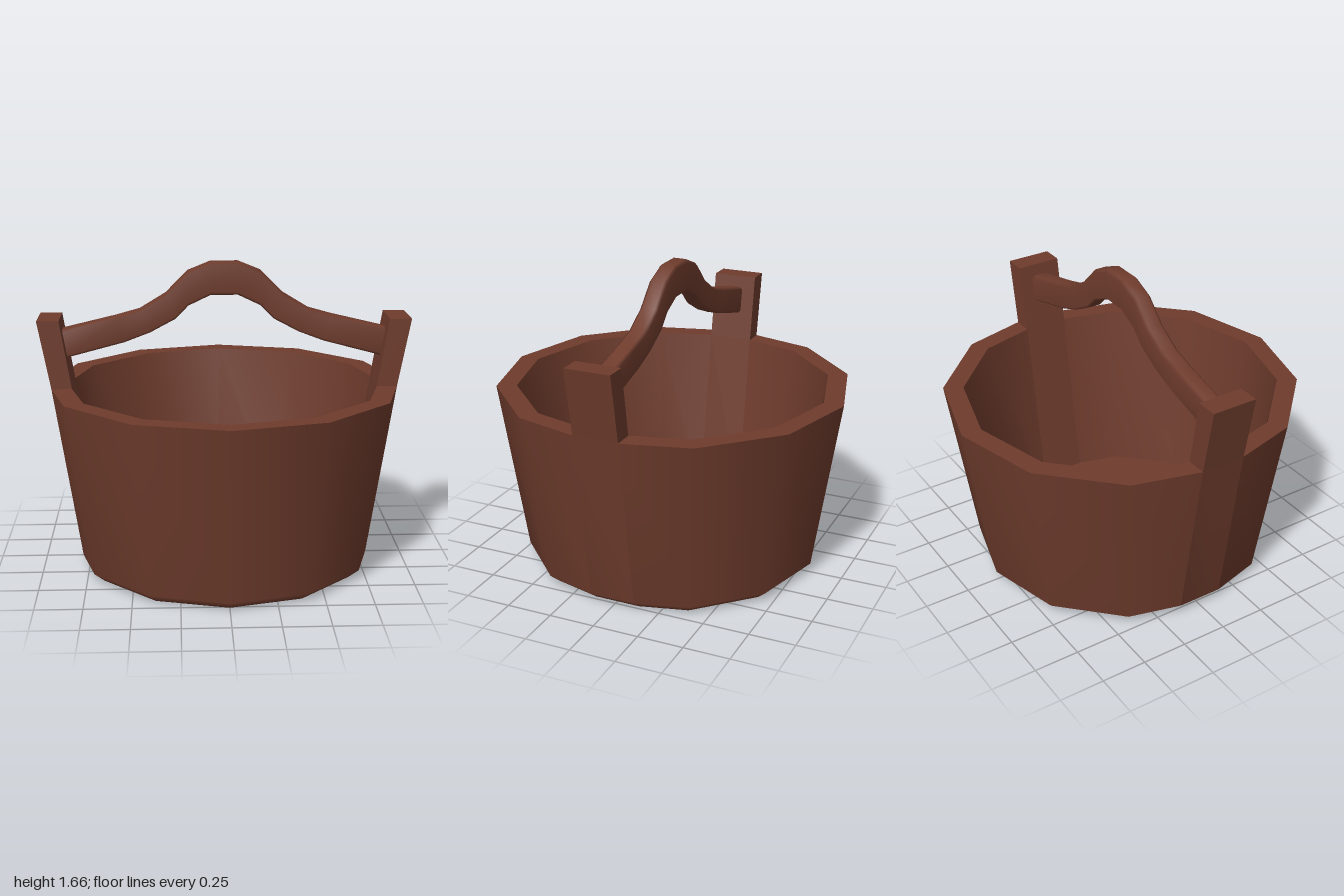
import * as THREE from 'three';
import { mergeVertices } from 'three/addons/utils/BufferGeometryUtils.js';

// Smooth surface through rows of [x, y, z] points
function loft(rows) {
  const n = rows[0].length, index = [];
  for (let i = 0; i < rows.length - 1; i++) {
    for (let j = 0; j < n - 1; j++) {
      const a = i * n + j, b = a + n;
      index.push(a, a + 1, b, a + 1, b + 1, b);
    }
  }
  const geometry = new THREE.BufferGeometry();
  geometry.setAttribute('position', new THREE.Float32BufferAttribute(rows.flat(2), 3));
  geometry.setIndex(index);
  const merged = mergeVertices(geometry, 1e-4);
  merged.computeVertexNormals();
  return merged;
}

const HALF_POST = 0.125;
const CUT = HALF_POST * Math.tan(Math.PI / 12);

// Half of a twelve-sided ring whose corners on the x axis are cut flat
function arc(r, y) {
  if (r === 0) return Array.from({ length: 7 }, () => [0, y, 0]);
  const points = [[r - CUT, y, HALF_POST]];
  for (let i = 1; i <= 5; i++) {
    const t = (i * Math.PI) / 6;
    points.push([r * Math.cos(t), y, r * Math.sin(t)]);
  }
  points.push([CUT - r, y, HALF_POST]);
  return points;
}

// The flat cut under a post
function panel(r, y) {
  if (r === 0) return [[0, y, 0], [0, y, 0]];
  return [[r - CUT, y, -HALF_POST], [r - CUT, y, HALF_POST]];
}

export function createModel() {
  const wood = new THREE.MeshStandardMaterial({ color: 0x6f3c2d });
  wood.name = 'reddish brown wood';

  const model = new THREE.Group();
  model.name = 'bucket';
  const add = (parent, name, geometry) => {
    const mesh = new THREE.Mesh(geometry, wood);
    mesh.name = name;
    parent.add(mesh);
  };

  // [radius, height] profiles
  const outer = [[0.965, 1], [0.82, 0.05], [0.76, 0], [0, 0]];
  const inner = [[0.705, 0.05], [0.855, 1]];
  const floor = [[0, 0.05], [0.705, 0.05]];
  const rim = [[0.855, 1], [0.965, 1]];
  const build = (section, profile) => loft(profile.map(([r, y]) => section(r, y)));

  // Two identical halves, each with one post
  for (const turn of [0, Math.PI]) {
    const half = new THREE.Group();
    half.name = turn ? 'backHalf' : 'frontHalf';
    half.rotation.y = turn;
    model.add(half);

    add(half, 'outerWall', build(arc, outer));
    add(half, 'outerPanel', build(panel, outer));
    add(half, 'innerWall', build(arc, inner));
    add(half, 'innerPanel', build(panel, inner));
    add(half, 'floor', build(arc, floor));
    add(half, 'floorWedge', build(panel, floor));
    add(half, 'rim', build(arc, rim));

    // Post leaning outward with the wall
    const side = new THREE.Shape([
      new THREE.Vector2(0.855 - CUT, 1),
      new THREE.Vector2(0.965 - CUT, 1),
      new THREE.Vector2(1, 1.37),
      new THREE.Vector2(0.882, 1.37),
    ]);
    const post = new THREE.ExtrudeGeometry(side, { depth: 2 * HALF_POST, bevelEnabled: false });
    post.translate(0, 0, -HALF_POST);
    add(half, 'post', post);
  }

  // Arched handle: top and bottom points [x, y] from the post to the middle
  const stations = [
    [[0.875, 1.305], [0.856, 1.152]],
    [[0.58, 1.375], [0.54, 1.235]],
    [[0.455, 1.41], [0.4, 1.288]],
    [[0.315, 1.495], [0.265, 1.36]],
    [[0.196, 1.615], [0.193, 1.433]],
    [[0.073, 1.665], [0.073, 1.49]],
  ];
  const mirrored = stations.map((s) => s.map(([x, y]) => [-x, y])).reverse();
  // Chamfered section: [share of half height, z]
  const section = [
    [1, 0.035], [1, -0.035], [0.82, -0.05], [-0.82, -0.05],
    [-1, -0.035], [-1, 0.035], [-0.82, 0.05], [0.82, 0.05], [1, 0.035],
  ];
  const rows = [...stations, ...mirrored].map(([top, bottom]) =>
    section.map(([v, z]) => {
      const t = (1 + v) / 2;
      return [bottom[0] + (top[0] - bottom[0]) * t, bottom[1] + (top[1] - bottom[1]) * t, z];
    }));
  add(model, 'handle', loft(rows));

  return model;
}
